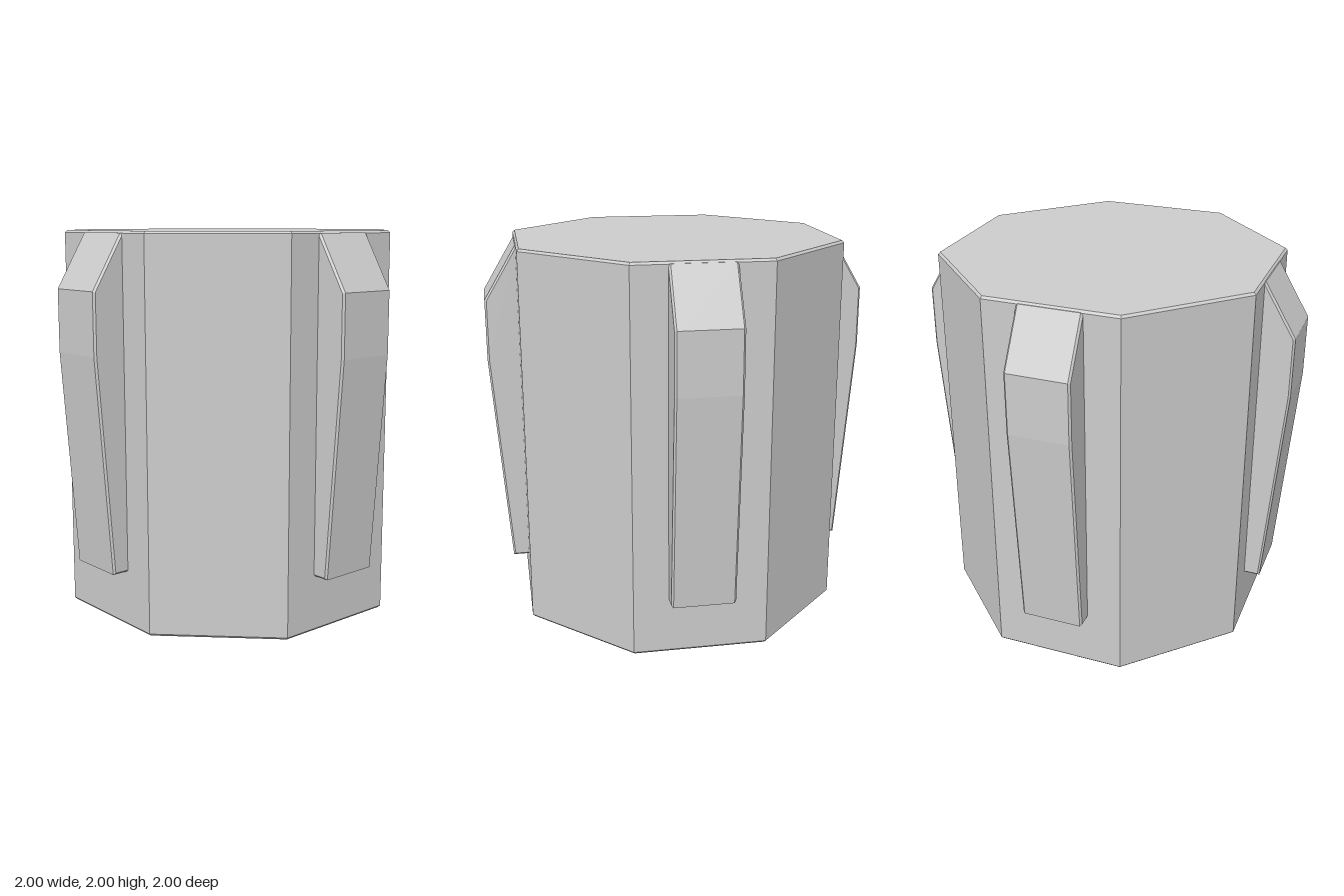
import * as THREE from 'three';

export function createModel() {
  const model = new THREE.Group();
  const material = new THREE.MeshStandardMaterial({ color: 0xcccccc, flatShading: true });

  // Octagonal body with a fine chamfer at the rims, flat sides facing the axes
  const radius = 0.832 / Math.cos(Math.PI / 8);
  const chamfer = 0.012;
  const profile = [
    [0, 0], [radius - chamfer, 0], [radius, chamfer],
    [radius, 2 - chamfer], [radius - chamfer, 2], [0, 2],
  ].map(([r, y]) => new THREE.Vector2(r, y));
  const body = new THREE.Mesh(new THREE.LatheGeometry(profile, 8, Math.PI / 8), material);
  body.name = 'body';
  model.add(body);

  // Tapered rib: sloped shoulder, upright face, then narrowing to a squared foot
  const side = new THREE.Shape([
    [0.78, 0.29], [0.915, 0.29], [1, 1.4], [1, 1.715], [0.835, 1.99], [0.78, 1.99],
  ].map(([x, y]) => new THREE.Vector2(x, y)));
  const width = 0.33;
  const bevel = 0.01;
  const ribGeometry = new THREE.ExtrudeGeometry(side, {
    depth: width - 2 * bevel,
    bevelEnabled: true,
    bevelThickness: bevel,
    bevelSize: bevel,
    bevelOffset: -bevel,
    bevelSegments: 1,
  });
  ribGeometry.translate(0, 0, bevel - width / 2);

  // One rib on each of the four sides
  ['leftRib', 'backRib', 'rightRib', 'frontRib'].forEach((name, i) => {
    const rib = new THREE.Mesh(ribGeometry, material);
    rib.name = name;
    rib.rotation.y = (i * Math.PI) / 2;
    model.add(rib);
  });

  return model;
}
